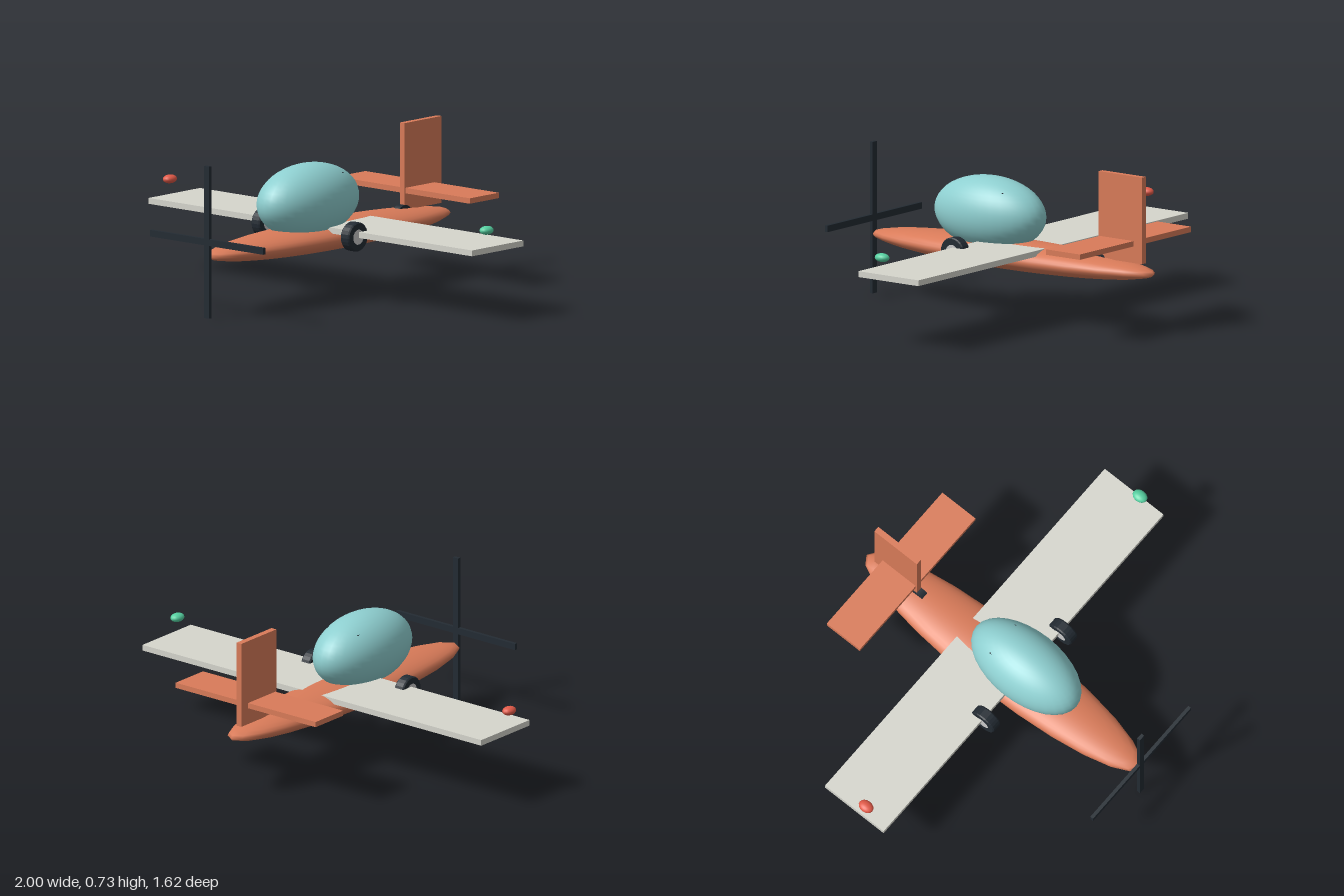
import * as THREE from 'three';

const material = (color) => new THREE.MeshStandardMaterial({ color });

export function createModel() {
  const plane = new THREE.Group();
  plane.name = 'airplane';
  const orange = material(0xd97b59);
  const teal = material(0x8ecfd0);
  const pale = material(0xd6d6cd);
  const dark = material(0x232b33);
  const grey = material(0xcccccc);

  const add = (name, geometry, mat, x, y, z, parent = plane) => {
    const mesh = new THREE.Mesh(geometry, mat);
    mesh.name = name;
    mesh.position.set(x, y, z);
    parent.add(mesh);
    return mesh;
  };
  const box = (name, w, h, d, mat, x, y, z) =>
    add(name, new THREE.BoxGeometry(w, h, d), mat, x, y, z);
  const ellipsoid = (name, rx, ry, rz, mat, x, y, z, sides = 32) =>
    add(name, new THREE.SphereGeometry(1, sides, sides * 0.75).scale(rx, ry, rz), mat, x, y, z);

  // Body and canopy
  ellipsoid('fuselage', 0.16, 0.067, 0.806, orange, 0, 0.281, -0.003, 24);
  ellipsoid('canopy', 0.163, 0.17, 0.296, teal, 0, 0.455, 0.132);
  box('seatBack', 0.18, 0.2, 0.04, dark, 0, 0.475, 0.01);

  // Wing and tail
  box('wing', 1.985, 0.027, 0.345, pale, 0, 0.327, -0.057);
  box('tailplane', 0.82, 0.025, 0.195, orange, 0, 0.414, -0.605);
  box('fin', 0.028, 0.4, 0.25, orange, 0, 0.525, -0.626);

  // Crossed propeller blades
  box('propellerBladeVertical', 0.03, 0.7, 0.016, dark, 0, 0.35, 0.805);
  box('propellerBladeHorizontal', 0.695, 0.03, 0.016, dark, 0, 0.35, 0.805);

  // Main wheels: open tyre ring around a grey hub
  const tyreProfile = [
    [0.035, -0.026], [0.062, -0.026], [0.067, -0.02],
    [0.067, 0.02], [0.062, 0.026], [0.035, 0.026], [0.035, -0.026],
  ].map(([r, y]) => new THREE.Vector2(r, y));
  const tyre = new THREE.LatheGeometry(tyreProfile, 24).toNonIndexed().rotateZ(Math.PI / 2);
  tyre.computeVertexNormals();
  const hub = new THREE.CylinderGeometry(0.036, 0.036, 0.05, 24).rotateZ(Math.PI / 2);

  for (const [side, s, color] of [['left', 1, 0x55cfa0], ['right', -1, 0xe25a48]]) {
    const wheel = new THREE.Group();
    wheel.name = side + 'Wheel';
    wheel.position.set(s * 0.274, 0.318, 0.12);
    add('tyre', tyre, dark, 0, 0, 0, wheel);
    add('hub', hub, grey, 0, 0, 0, wheel);
    plane.add(wheel);
    // Wingtip light
    ellipsoid(side + 'WingtipLight', 0.028, 0.02, 0.037, material(color), s * 0.972, 0.415, -0.005, 16);
  }

  // Small tail wheel sunk into the fuselage
  const tailWheel = new THREE.CylinderGeometry(0.05, 0.05, 0.036, 20).rotateZ(Math.PI / 2);
  add('tailWheel', tailWheel, dark, 0, 0.299, -0.5);

  return plane;
}
